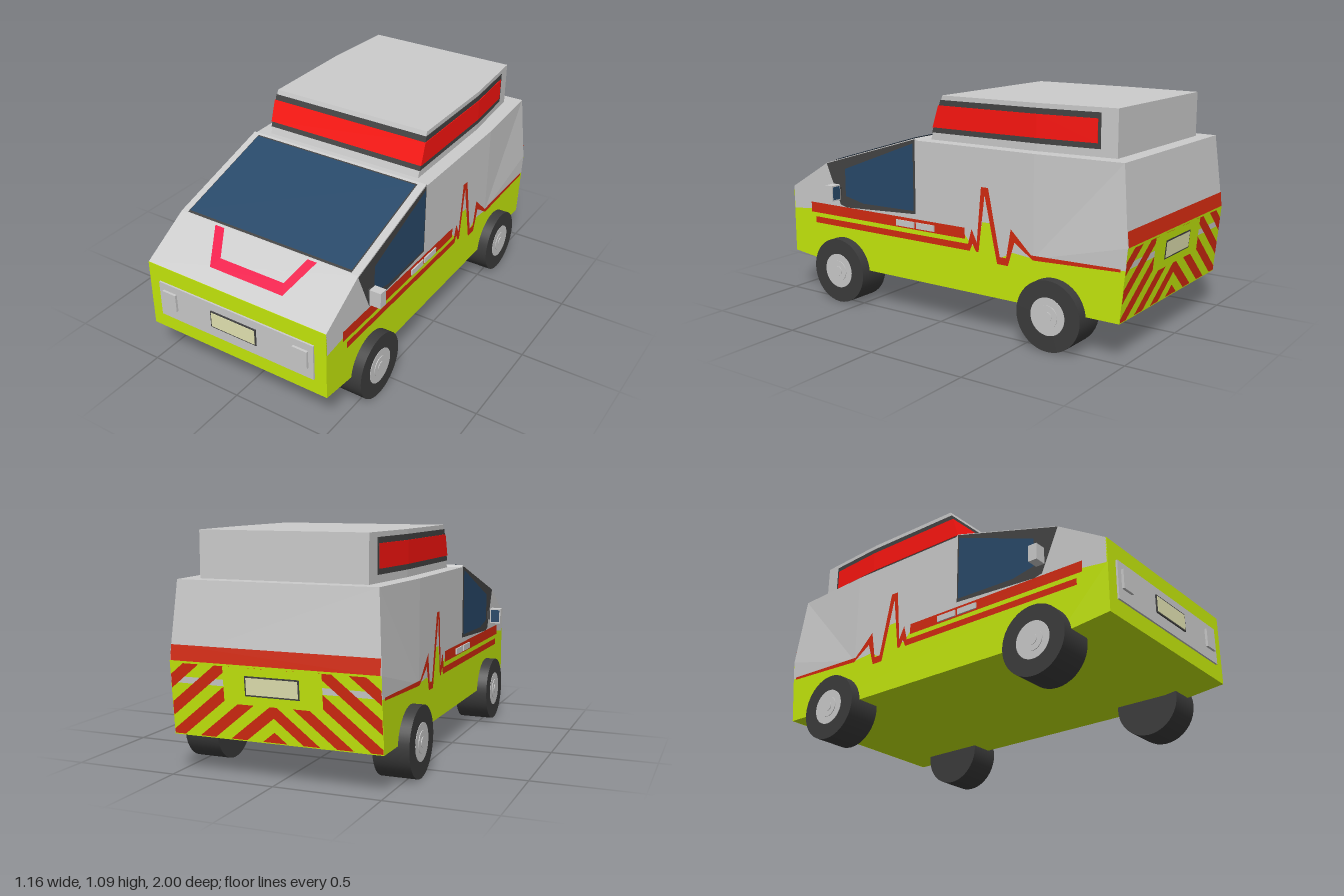
import * as THREE from 'three';

const WHITE = 0xcccccc, GREEN = 0xc6ea0c, RED = 0xd42a10, SIGN = 0xff1510, DARK = 0x444444;
const BLUE = 0x28496a, TYRE = 0x3c3c3c, CREAM = 0xe6e6b4, PINK = 0xee1048;

export function createModel() {
  const root = new THREE.Group();

  function add(name, color, geometry, doubleSided = false) {
    const material = new THREE.MeshStandardMaterial({ color });
    if (doubleSided) material.side = THREE.DoubleSide;
    const mesh = new THREE.Mesh(geometry, material);
    mesh.name = name;
    root.add(mesh);
    return mesh;
  }
  const toShape = pts => new THREE.Shape(pts.map(p => new THREE.Vector2(p[0], p[1])));
  const rect = (u0, u1, v0, v1) => [[u0, v0], [u1, v0], [u1, v1], [u0, v1]];

  // Solid from a side profile of [z, y] points, spread across x; the rule may narrow it
  function slab(name, color, profile, width, narrow) {
    const g = new THREE.ExtrudeGeometry(toShape(profile), { depth: width, bevelEnabled: false });
    g.translate(0, 0, -width / 2).rotateY(-Math.PI / 2);
    if (narrow) {
      const p = g.attributes.position;
      for (let i = 0; i < p.count; i++) p.setX(i, p.getX(i) * narrow(p.getY(i), p.getZ(i)));
      g.computeVertexNormals();
    }
    return add(name, color, g);
  }

  // Thin flat marking: 2D outline laid on a surface by a mapping function
  function decal(name, color, pts, map) {
    const g = new THREE.ShapeGeometry(toShape(pts));
    const p = g.attributes.position;
    for (let i = 0; i < p.count; i++) p.setXYZ(i, ...map(p.getX(i), p.getY(i)));
    g.computeVertexNormals();
    return add(name, color, g, true);
  }
  function box(name, color, x, y, z, w, h, d) {
    return add(name, color, new THREE.BoxGeometry(w, h, d).translate(x, y, z));
  }

  // Body: green below, pale above, sharing one colour boundary
  const border = [[0.975, 0.44], [0.85, 0.455], [-0.15, 0.455], [-0.19, 0.41], [-0.22, 0.41], [-0.25, 0.53],
    [-0.295, 0.53], [-0.34, 0.37], [-0.42, 0.41], [-0.53, 0.4]];
  slab('lowerBody', GREEN, [...border, [-0.992, 0.42], [-0.968, 0.18], [0.72, 0.18], [0.975, 0.21]], 1);
  slab('upperBody', WHITE, [...border, [-0.53, 0.875], [0.13, 0.875], [0.145, 0.885], [0.725, 0.71], [0.975, 0.56]], 1);
  slab('rearUpperBody', WHITE, [[-0.53, 0.4], [-0.53, 0.875], [-0.963, 0.875], [-1, 0.52], [-0.992, 0.42]], 1,
    (y, z) => (y > 0.8 && z < -0.9 ? 0.95 : 1));

  // Roof box with a wrap-around dark band and red light panel
  const slopeZ = y => 0.1 - 0.07 * (y - 0.875) / 0.215;
  const taper = (y, z) => 1 - 0.17 * Math.max(0, -0.5 - z);
  for (const [name, color, a, b, end, o] of [
    ['roofBox', WHITE, 0.87, 1.09, -0.89, 0],
    ['roofBand', DARK, 0.91, 1.068, -0.81, 0.003],
    ['roofLightPanel', SIGN, 0.935, 1.042, -0.797, 0.006]]) {
    slab(name, color, [[slopeZ(a) + o, a], [-0.5, a], [-0.5, b], [slopeZ(b) + o, b]], 0.86 + 2 * o);
    slab(name + 'Rear', color, rect(end, -0.5, a, b), 0.86 + 2 * o, taper);
  }

  // Windscreen and bonnet marking
  const screenMap = (x, y) => [x, y + 0.003, 0.725 - (y - 0.71) * 0.58 / 0.175 + 0.001];
  decal('windscreenSeal', DARK, rect(-0.463, 0.463, 0.711, 0.88), screenMap);
  decal('windscreen', BLUE, rect(-0.458, 0.458, 0.714, 0.877), (x, y) => {
    const [a, b, c] = screenMap(x, y);
    return [a, b + 0.003, c];
  });
  decal('bonnetStripe', PINK, [[-0.285, 0.705], [-0.185, 0.603], [0.222, 0.603], [0.29, 0.705],
    [0.24, 0.705], [0.195, 0.632], [-0.16, 0.632], [-0.232, 0.705]],
    (x, y) => [x, y + 0.003, 0.975 - (y - 0.56) * 0.25 / 0.15 + 0.002]);

  // Front face
  box('frontPanel', GREEN, 0, 0.385, 0.974, 1, 0.35, 0.006);
  box('grille', WHITE, 0, 0.383, 0.978, 0.875, 0.185, 0.016);
  for (const s of [1, -1]) box('headlight', WHITE, s * 0.372, 0.393, 0.985, 0.078, 0.092, 0.026);
  box('frontPlateFrame', DARK, 0, 0.39, 0.984, 0.258, 0.088, 0.016);
  box('frontPlate', CREAM, 0, 0.39, 0.986, 0.246, 0.076, 0.016);

  // Both sides
  for (const s of [1, -1]) {
    const on = offset => (z, y) => [s * (0.5 + offset), y, z];
    decal('sideWindowFrame', DARK, [[0.73, 0.705], [0.145, 0.88], [0.145, 0.515], [0.6, 0.49], [0.64, 0.5]], on(0.002));
    decal('sideWindow', BLUE, [[0.6, 0.69], [0.155, 0.86], [0.155, 0.53], [0.48, 0.525], [0.6, 0.55]], on(0.005));
    decal('upperStripe', RED, rect(-0.15, 0.85, 0.437, 0.49), on(0.002));
    decal('lowerStripe', RED, rect(-0.18, 0.82, 0.383, 0.415), on(0.002));
    decal('pulseLine', RED, [[-0.165, 0.4], [-0.19, 0.49], [-0.22, 0.43], [-0.245, 0.695], [-0.285, 0.695],
      [-0.35, 0.38], [-0.385, 0.38], [-0.41, 0.52], [-0.52, 0.415], [-0.97, 0.425], [-0.97, 0.412], [-0.53, 0.393],
      [-0.43, 0.46], [-0.395, 0.345], [-0.335, 0.345], [-0.265, 0.66], [-0.23, 0.385], [-0.215, 0.385],
      [-0.195, 0.42], [-0.18, 0.385]], on(0.003));
    for (const z of [0.21, 0.085]) box('doorHandle', WHITE, s * 0.503, 0.46, z, 0.012, 0.03, 0.11);

    // Mirrors
    box('mirrorArm', DARK, s * 0.51, 0.572, 0.64, 0.04, 0.045, 0.02);
    box('mirror', WHITE, s * 0.55, 0.57, 0.645, 0.058, 0.08, 0.045);
    box('mirrorGlass', BLUE, s * 0.55, 0.57, 0.622, 0.046, 0.066, 0.004);

    // Wheels: tyre, rim and concentric hub steps
    for (const z of [0.62, -0.64]) {
      const disc = (name, color, r, x0, x1) => add(name, color, new THREE.CylinderGeometry(r, r, x1 - x0, 40)
        .rotateZ(Math.PI / 2).translate(s * (x0 + x1) / 2, 0.165, z));
      disc('tyre', TYRE, 0.165, 0.382, 0.552);
      disc('rim', WHITE, 0.088, 0.5, 0.554);
      disc('hubRing', WHITE, 0.052, 0.5, 0.557);
      disc('hubCap', WHITE, 0.024, 0.5, 0.56);
    }
  }

  // Rear face, which bulges slightly at mid height
  const rearZ = y => (y < 0.52 ? -0.968 - 0.032 * (y - 0.18) / 0.34 : -1 + 0.037 * (y - 0.52) / 0.355);
  const rear = offset => (x, y) => [x, y, rearZ(y) - offset];
  decal('rearGreen', GREEN, rect(-0.5, 0.5, 0.18, 0.52), rear(0.001));
  decal('rearBand', RED, rect(-0.495, 0.495, 0.52, 0.59), rear(0.002));

  // Chevrons, cut to the rear face with half-plane clipping
  function clip(pts, axis, limit, sign) {
    const out = [], side = p => sign * (p[axis] - limit);
    pts.forEach((p, i) => {
      const q = pts[(i + 1) % pts.length], a = side(p), b = side(q);
      if (a >= 0) out.push(p);
      if (a * b < 0) out.push([p[0] + (q[0] - p[0]) * a / (a - b), p[1] + (q[1] - p[1]) * a / (a - b)]);
    });
    return out;
  }
  for (let x = -0.42; x < 0.5; x += 0.155) {
    let pts = [[x, 0.51], [x + 0.078, 0.51], [x + 0.078 + 0.4, 0.185], [x + 0.4, 0.185]];
    pts = clip(clip(pts, 0, 0, 1), 0, 0.498, -1);
    if (pts.length < 3) continue;
    for (const s of [1, -1]) decal('chevron', RED, pts.map(p => [s * p[0], p[1]]), rear(0.002));
  }
  decal('rearPlatePanel', GREEN, rect(-0.235, 0.235, 0.345, 0.51), rear(0.004));
  decal('rearPlateFrame', DARK, rect(-0.13, 0.13, 0.385, 0.475), rear(0.006));
  decal('rearPlate', CREAM, rect(-0.123, 0.123, 0.392, 0.468), rear(0.008));

  return root;
}
